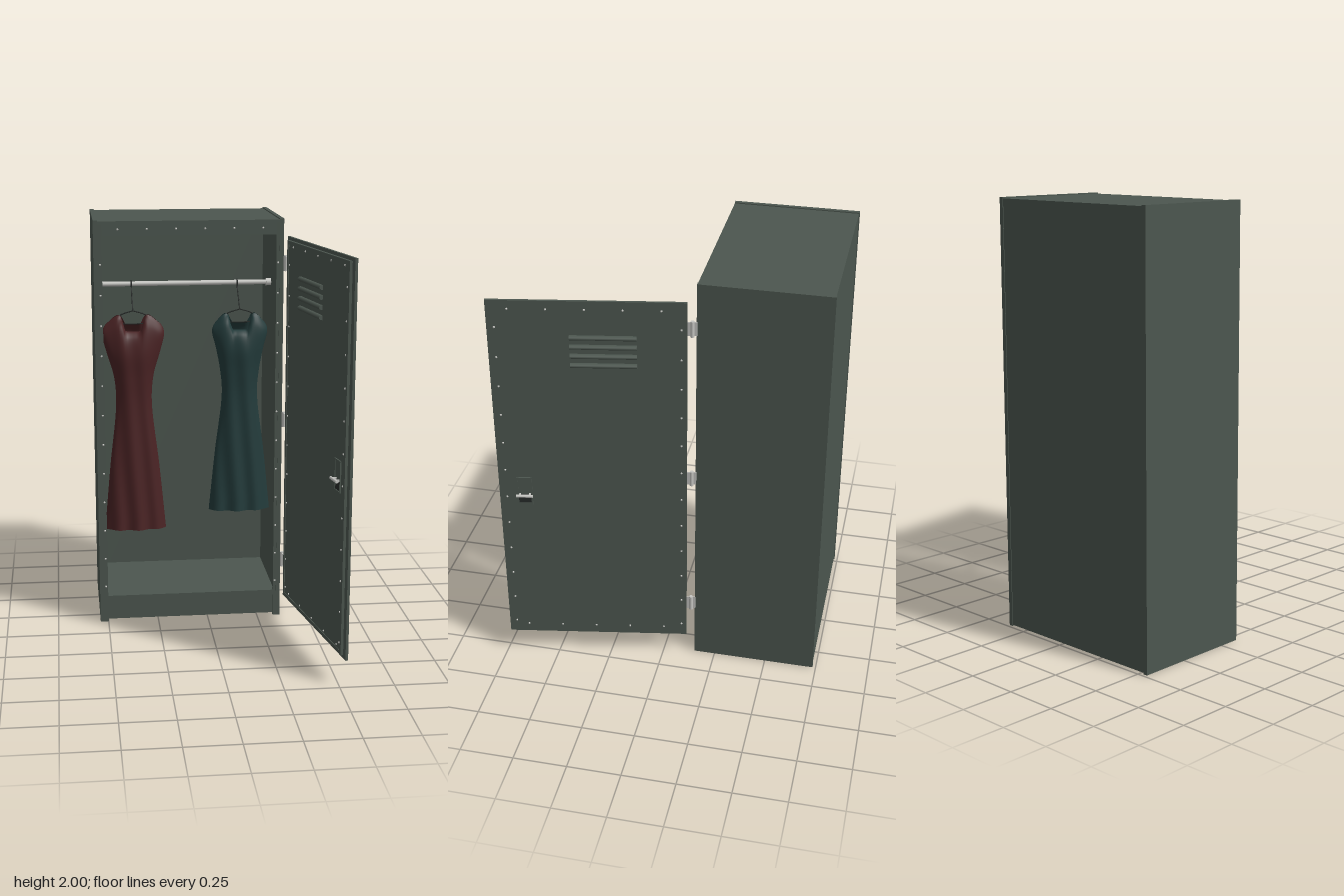
import * as THREE from 'three';

const mat = (name, color, side = THREE.FrontSide) => {
  const m = new THREE.MeshStandardMaterial({ color, side });
  m.name = name;
  return m;
};

export function createModel() {
  const steel = mat('painted steel', 0x4c564f);
  const metal = mat('bright metal', 0xc6c6c2);
  const wire = mat('dark wire', 0x262a28);
  const red = mat('red cloth', 0x4a2324, THREE.DoubleSide);
  const teal = mat('teal cloth', 0x233b3b, THREE.DoubleSide);

  const model = new THREE.Group();
  model.name = 'wardrobeLocker';
  const group = (name, parent = model) => {
    const g = new THREE.Group();
    g.name = name;
    parent.add(g);
    return g;
  };
  const add = (parent, name, geo, m, x = 0, y = 0, z = 0) => {
    const mesh = new THREE.Mesh(geo, m);
    mesh.name = name;
    mesh.position.set(x, y, z);
    parent.add(mesh);
    return mesh;
  };
  // Box given by its minimum and maximum corners
  const box = (parent, name, m, x0, x1, y0, y1, z0, z1) =>
    add(parent, name, new THREE.BoxGeometry(x1 - x0, y1 - y0, z1 - z0), m,
      (x0 + x1) / 2, (y0 + y1) / 2, (z0 + z1) / 2);
  const rivetGeo = new THREE.SphereGeometry(0.005, 8, 6);
  const rivet = (parent, x, y, z) => add(parent, 'rivet', rivetGeo, metal, x, y, z);

  // Cabinet shell
  const cab = group('cabinet');
  box(cab, 'leftSide', steel, 0.345, 0.365, 0, 2, -0.735, -0.15);
  box(cab, 'rightSide', steel, -0.54, -0.52, 0, 2, -0.735, -0.15);
  box(cab, 'back', steel, -0.52, 0.345, 0.005, 1.995, -0.732, -0.715);
  box(cab, 'top', steel, -0.52, 0.345, 1.975, 1.995, -0.715, -0.155);
  box(cab, 'floor', steel, -0.52, 0.345, 0.09, 0.112, -0.715, -0.17);
  box(cab, 'underside', steel, -0.52, 0.345, 0.02, 0.03, -0.715, -0.19);

  // Front frame with rivets
  box(cab, 'frameRight', steel, -0.52, -0.5, 0, 1.98, -0.17, -0.152);
  box(cab, 'frameLeft', steel, 0.33, 0.345, 0, 1.98, -0.17, -0.152);
  box(cab, 'frameTop', steel, -0.5, 0.33, 1.925, 1.98, -0.17, -0.152);
  box(cab, 'frameTopEdge', steel, -0.52, 0.345, 1.98, 1.995, -0.155, -0.15);
  box(cab, 'frameSill', steel, -0.5, 0.33, 0.11, 0.135, -0.17, -0.152);
  box(cab, 'plinth', steel, -0.5, 0.33, 0.005, 0.11, -0.195, -0.175);
  const rows = Array.from({ length: 12 }, (_, i) => 0.185 + i * 0.146);
  for (const y of rows) for (const x of [-0.51, 0.338]) rivet(cab, x, y, -0.152);
  for (let i = 0; i < 6; i++) rivet(cab, -0.425 + i * 0.138, 1.957, -0.152);

  // Clothes rod with end sockets
  const rodZ = -0.43, rodY = 1.66;
  const rod = group('clothesRod');
  const bar = (parent, name, r, x0, x1, m, y, z, n = 20) => {
    const b = add(parent, name, new THREE.CylinderGeometry(r, r, x1 - x0, n), m, (x0 + x1) / 2, y, z);
    b.rotation.z = Math.PI / 2;
  };
  bar(rod, 'rod', 0.012, -0.515, 0.34, metal, rodY, rodZ);
  bar(rod, 'socket', 0.018, -0.52, -0.495, metal, rodY, rodZ);
  bar(rod, 'socket', 0.018, 0.32, 0.345, metal, rodY, rodZ);

  // Open door, built along its own +z with +x as the outer face
  const door = group('door');
  door.position.set(0.377, 0, -0.113);
  door.rotation.y = 0.175;
  box(door, 'outerPanel', steel, 0, 0.0125, 0.12, 1.92, 0, 0.858);
  box(door, 'innerPanel', steel, -0.009, 0, 0.135, 1.905, 0.03, 0.828);
  for (const z of [0.03, 0.81])
    box(door, 'innerStile', steel, -0.0125, -0.008, 0.135, 1.905, z, z + 0.018);
  for (const y of [0.135, 1.887])
    box(door, 'innerRail', steel, -0.0125, -0.008, y, y + 0.018, 0.048, 0.81);
  for (const s of [1, -1]) {
    const x = s > 0 ? 0.0125 : -0.009;
    for (const y of rows) for (const z of [0.025, 0.825])
      rivet(door, x, y, s > 0 ? z : THREE.MathUtils.clamp(z, 0.06, 0.798));
    for (const y of [0.165, 1.88]) for (let i = 0; i < 5; i++)
      rivet(door, x, y, 0.11 + i * 0.164);

    // Rounded vent louvres on both faces
    for (let i = 0; i < 4; i++) {
      const v = add(door, 'ventLouvre', new THREE.CylinderGeometry(0.011, 0.011, 0.29, 12), steel,
        x, 1.613 + i * 0.045, 0.361);
      v.rotation.x = Math.PI / 2;
      v.scale.x = 1.5;
    }

    // Latch: raised frame, dark recess and a lever
    const latch = group('latch', door);
    latch.position.set(x, 0.95, 0.742);
    box(latch, 'latchRecess', wire, -0.002, 0.002, -0.068, -0.02, -0.03, 0.03);
    box(latch, 'latchPlate', steel, -0.003, 0.003, -0.012, 0.068, -0.03, 0.03);
    for (const k of [-1, 1]) {
      box(latch, 'latchRim', steel, -0.006, 0.006, -0.07, 0.07, k * 0.032 - 0.003, k * 0.032 + 0.003);
      box(latch, 'latchRim', steel, -0.006, 0.006, k * 0.07 - 0.003, k * 0.07 + 0.003, -0.035, 0.035);
      box(latch, 'leverPost', metal, Math.min(0, s * 0.02), Math.max(0, s * 0.02),
        -0.023, -0.013, k * 0.022 - 0.004, k * 0.022 + 0.004);
    }
    const lever = add(latch, 'lever', new THREE.CylinderGeometry(0.007, 0.007, 0.076, 12), metal, s * 0.021, -0.018, 0);
    lever.rotation.x = Math.PI / 2;
  }

  // Hinges between cabinet and door
  for (const y of [0.305, 1.025, 1.79]) {
    const h = group('hinge');
    h.position.set(0.371, y, -0.133);
    add(h, 'knuckle', new THREE.CylinderGeometry(0.009, 0.009, 0.075, 14), metal);
    box(h, 'cabinetLeaf', metal, -0.007, -0.002, -0.033, 0.033, -0.02, 0);
    box(h, 'doorLeaf', metal, -0.001, 0.004, -0.033, 0.033, 0, 0.024);
  }

  // Dress: closed rings lofted from the hem up to a shaped neckline
  // Profile rows: height fraction, half width, half depth
  const dressGeo = (y0, hem, shoulder, phase) => {
    const profile = [[0, hem, 0.055], [0.3, hem * 0.8, 0.05], [0.6, 0.088, 0.045], [0.72, 0.097, 0.05],
      [0.84, shoulder * 0.86, 0.056], [0.94, shoulder, 0.042], [0.98, shoulder * 0.96, 0.025], [1, shoulder * 0.88, 0.012]];
    const curve = new THREE.CatmullRomCurve3(profile.map(p => new THREE.Vector3(...p)));
    const N = 64, R = 44, pos = [], idx = [];
    for (let j = 0; j <= R; j++) {
      const p = curve.getPoint(j / R), t = j === R ? 1 : Math.min(p.x, 1);
      for (let i = 0; i < N; i++) {
        const a = (i / N) * Math.PI * 2, x = p.y * Math.cos(a), front = Math.sin(a) >= 0;
        const ax = Math.abs(x);
        const neck = 1 - THREE.MathUtils.smoothstep(ax, 0.035, 0.062);
        const slope = THREE.MathUtils.smoothstep(ax, 0.07, shoulder) * 0.05;
        const top = 1.525 - slope - neck * (front ? 0.08 : 0.045);
        const y = y0 + t * (1.525 - y0) + Math.pow(t, 8) * (top - 1.525);
        const fold = 0.009 * (1 - t * 0.75) * Math.sin(x * 62 + phase + t * 5) * Math.abs(Math.sin(a));
        pos.push(x, y, p.z * Math.sin(a) + fold);
        if (j < R) {
          const b = j * N + i, c = j * N + (i + 1) % N;
          idx.push(b, b + N, c, c, b + N, c + N);
        }
      }
    }
    const g = new THREE.BufferGeometry();
    g.setAttribute('position', new THREE.Float32BufferAttribute(pos, 3));
    g.setIndex(idx);
    g.computeVertexNormals();
    return g;
  };

  // Garments hang from wire hangers hooked on the rod
  const tube = (pts, r) => new THREE.TubeGeometry(
    new THREE.CatmullRomCurve3(pts.map(p => new THREE.Vector3(...p)), false, 'centripetal'), 40, r, 6);
  const garment = (name, x, m, y0, hem, shoulder, phase) => {
    const g = group(name);
    g.position.set(x, 0, -0.31);
    add(g, 'dress', dressGeo(y0, hem, shoulder, phase), m);
    const dz = rodZ + 0.31;
    add(g, 'hangerHook', tube([[0, 1.652, dz - 0.016], [0, 1.668, dz - 0.012], [0, 1.676, dz],
      [0, 1.668, dz + 0.014], [0, 1.64, dz + 0.016], [0, 1.59, -0.05], [0, 1.545, 0]], 0.003), wire);
    for (const s of [-1, 1])
      add(g, 'hangerArm', tube([[0, 1.545, 0], [s * 0.06, 1.525, 0], [s * 0.105, 1.485, 0]], 0.003), wire);
    add(g, 'hangerBar', tube([[-0.105, 1.485, 0], [0, 1.48, 0], [0.105, 1.485, 0]], 0.003), wire);
  };
  garment('redDress', -0.35, red, 0.44, 0.153, 0.152, 0.6);
  garment('tealDress', 0.175, teal, 0.525, 0.154, 0.137, 2.4);

  return model;
}
